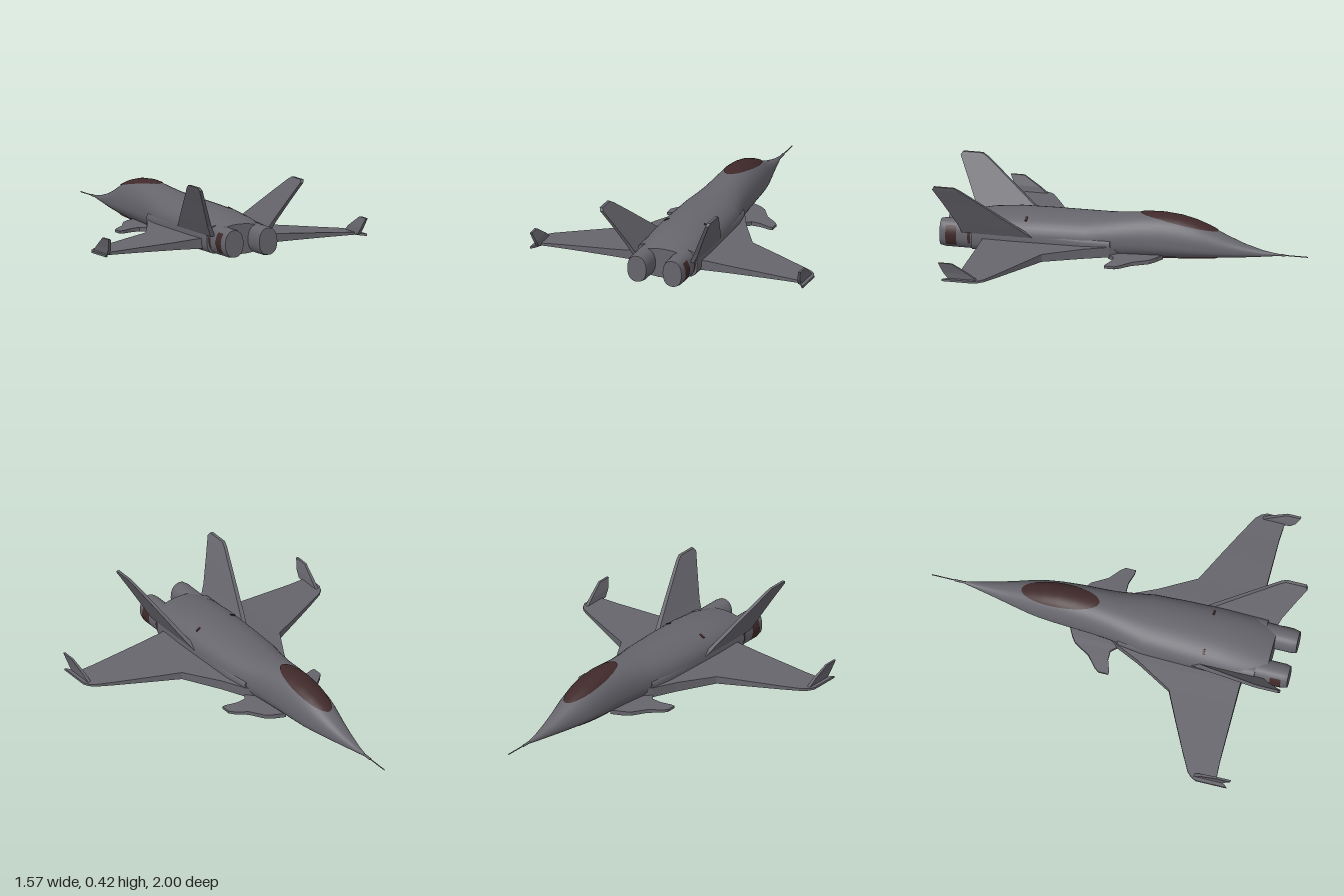
import * as THREE from 'three';

const grey = new THREE.MeshStandardMaterial({ color: 0x66656c });
grey.name = 'airframe grey';
const maroon = new THREE.MeshStandardMaterial({ color: 0x40292a, side: THREE.DoubleSide });
maroon.name = 'dark maroon';

const POWER = 2.2; // roundness of the fuselage section

// Skins a list of rings (equal point counts), caps both ends and faces it outward.
function loft(rings, flat = false) {
  const n = rings[0].length, pos = [], idx = [];
  rings.forEach(r => r.forEach(p => pos.push(...p)));
  for (let j = 0; j < rings.length - 1; j++) {
    for (let i = 0; i < n; i++) {
      const a = j * n + i, b = j * n + (i + 1) % n;
      idx.push(a, b, b + n, a, b + n, a + n);
    }
  }
  // separate cap vertices keep the end edges sharp
  [[rings[0], true], [rings[rings.length - 1], false]].forEach(([ring, flip]) => {
    const s = pos.length / 3;
    ring.forEach(p => pos.push(...p));
    for (let i = 1; i < n - 1; i++) {
      if (flip) idx.push(s, s + i + 1, s + i);
      else idx.push(s, s + i, s + i + 1);
    }
  });
  // signed volume tells whether the winding must be turned
  const P = i => new THREE.Vector3().fromArray(pos, i * 3);
  let volume = 0;
  for (let k = 0; k < idx.length; k += 3) volume += P(idx[k]).dot(P(idx[k + 1]).cross(P(idx[k + 2])));
  if (volume < 0) idx.reverse();
  let geo = new THREE.BufferGeometry();
  geo.setAttribute('position', new THREE.Float32BufferAttribute(pos, 3));
  geo.setIndex(idx);
  if (flat) geo = geo.toNonIndexed();
  geo.computeVertexNormals();
  return geo;
}

// Rounded ring at z, with separate upper and lower heights.
function ovalRing(z, cx, w, bottom, mid, top, power = POWER, n = 40) {
  const ring = [];
  for (let i = 0; i < n; i++) {
    const a = (i / n) * Math.PI * 2, c = Math.cos(a), s = Math.sin(a);
    const x = Math.sign(c) * Math.abs(c) ** (2 / power), y = Math.sign(s) * Math.abs(s) ** (2 / power);
    ring.push([cx + w * x, mid + y * (s > 0 ? top - mid : mid - bottom), z]);
  }
  return ring;
}

// Fuselage stations: z, half width, bottom, middle, top
const STATIONS = [
  [-0.82, 0.006, 0.092, 0.1, 0.108], [-0.75, 0.02, 0.084, 0.1, 0.118],
  [-0.65, 0.042, 0.074, 0.105, 0.145], [-0.55, 0.066, 0.066, 0.11, 0.183],
  [-0.45, 0.09, 0.06, 0.117, 0.228], [-0.38, 0.102, 0.055, 0.122, 0.253],
  [-0.3, 0.11, 0.05, 0.127, 0.272], [-0.2, 0.117, 0.045, 0.13, 0.281],
  [-0.1, 0.122, 0.038, 0.13, 0.277], [0, 0.13, 0.028, 0.13, 0.266],
  [0.1, 0.147, 0.02, 0.13, 0.257], [0.2, 0.165, 0.014, 0.13, 0.253],
  [0.4, 0.174, 0.01, 0.13, 0.25], [0.6, 0.178, 0.012, 0.13, 0.245],
  [0.75, 0.176, 0.022, 0.125, 0.228], [0.88, 0.16, 0.035, 0.115, 0.198],
];

function stationAt(z) {
  let i = 0;
  while (i < STATIONS.length - 2 && STATIONS[i + 1][0] < z) i++;
  const a = STATIONS[i], b = STATIONS[i + 1], t = (z - a[0]) / (b[0] - a[0]);
  return a.map((v, k) => v + (b[k] - v) * t);
}

// Oval patch lying just off the fuselage skin; up is 1 for the top, -1 for the belly.
function skinPatch(up) {
  const seg = 40, steps = 12, pos = [], idx = [];
  for (let r = 0; r <= steps; r++) {
    for (let i = 0; i < seg; i++) {
      const a = (i / seg) * Math.PI * 2;
      const x = 0.071 * (r / steps) * Math.cos(a), z = -0.29 + 0.215 * (r / steps) * Math.sin(a);
      const [, w, bottom, mid, top] = stationAt(z);
      const reach = (1 - Math.min(1, Math.abs(x / w)) ** POWER) ** (1 / POWER);
      const y = mid + ((up > 0 ? top : bottom) - mid) * reach;
      pos.push(x, y + up * 0.005, z);
      if (r < steps) {
        const p = r * seg + i, q = r * seg + (i + 1) % seg;
        idx.push(p, q, q + seg, p, q + seg, p + seg);
      }
    }
  }
  if (up < 0) idx.reverse();
  const geo = new THREE.BufferGeometry();
  geo.setAttribute('position', new THREE.Float32BufferAttribute(pos, 3));
  geo.setIndex(idx);
  geo.computeVertexNormals();
  return geo;
}

// Thin panel from sections [x, y, leading z, trailing z, half thickness];
// the thickness runs along y, or along x for upright panels.
function panel(sections, side, upright = false) {
  return loft(sections.map(([x, y, z0, z1, t]) => {
    const dx = upright ? t : 0, dy = upright ? 0 : t;
    return [[x + dx, y + dy, z0], [x + dx, y + dy, z1], [x - dx, y - dy, z1], [x - dx, y - dy, z0]]
      .map(p => [p[0] * side, p[1], p[2]]);
  }), true);
}

// Curved strip around the outer side of a nozzle
function nozzleStrip(side, z, length, halfAngle) {
  return new THREE.CylinderGeometry(1, 1, length, 12, 1, true, side * Math.PI / 2 - halfAngle, halfAngle * 2)
    .rotateX(Math.PI / 2).scale(0.065, 0.08, 1).translate(side * 0.102, 0.112, z);
}

export function createModel() {
  const model = new THREE.Group();
  model.name = 'jet';
  const craft = new THREE.Group();
  craft.name = 'airframe';
  craft.position.x = -0.006;
  model.add(craft);
  const add = (name, geo, mat = grey) => {
    const mesh = new THREE.Mesh(geo, mat);
    mesh.name = name;
    craft.add(mesh);
  };

  add('fuselage', loft(STATIONS.map(([z, w, b, m, t]) => ovalRing(z, 0, w, b, m, t))));
  add('canopy', skinPatch(1), maroon);
  add('bellyPatch', skinPatch(-1), maroon);

  // Nose probe: slim tip and thicker sleeve
  add('probeTip', new THREE.CylinderGeometry(0.003, 0.003, 0.2, 8).rotateX(Math.PI / 2).translate(0, 0.1, -0.9));
  add('probeSleeve', new THREE.CylinderGeometry(0.007, 0.006, 0.09, 8).rotateX(Math.PI / 2).translate(0, 0.1, -0.83));

  for (const side of [1, -1]) {
    const label = side > 0 ? 'left' : 'right';

    add(label + 'Wing', panel([
      [0.1, 0.087, 0.0, 0.76, 0.028], [0.15, 0.087, 0.06, 0.76, 0.028],
      [0.21, 0.086, 0.19, 0.755, 0.027], [0.325, 0.083, 0.39, 0.755, 0.021],
      [0.5, 0.079, 0.475, 0.755, 0.015], [0.65, 0.075, 0.55, 0.755, 0.01],
      [0.745, 0.073, 0.6, 0.76, 0.007], [0.77, 0.072, 0.625, 0.81, 0.006],
      [0.785, 0.072, 0.655, 0.825, 0.006],
    ], side));

    add(label + 'Winglet', panel([
      [0.755, 0.072, 0.63, 0.79, 0.009], [0.76, 0.11, 0.68, 0.82, 0.008],
      [0.774, 0.165, 0.77, 0.845, 0.006],
    ], side, true));

    add(label + 'Canard', panel([
      [0.08, 0.062, -0.22, 0.09, 0.012], [0.14, 0.06, -0.19, 0.07, 0.012],
      [0.175, 0.058, -0.165, 0.03, 0.011], [0.225, 0.056, -0.08, 0.03, 0.01],
      [0.285, 0.054, -0.03, 0.05, 0.008], [0.305, 0.054, -0.005, 0.05, 0.007],
    ], side));

    add(label + 'TailFin', panel([
      [0.165, 0.14, 0.48, 0.87, 0.013], [0.196, 0.2, 0.56, 0.89, 0.012],
      [0.255, 0.32, 0.72, 0.95, 0.01], [0.303, 0.415, 0.85, 1.0, 0.009],
      [0.311, 0.432, 0.88, 0.99, 0.008],
    ], side, true));

    // Air intake trunk along the body side
    add(label + 'Intake', loft([
      ovalRing(0.06, side * 0.105, 0.045, 0.055, 0.1, 0.15, 4, 24),
      ovalRing(0.2, side * 0.11, 0.06, 0.045, 0.1, 0.16, 4, 24),
      ovalRing(0.6, side * 0.112, 0.068, 0.04, 0.11, 0.185, 3.5, 24),
      ovalRing(0.82, side * 0.108, 0.068, 0.035, 0.11, 0.19, 2.8, 24),
    ]));

    // Exhaust nozzle with a flat rear face
    add(label + 'Nozzle', loft([
      ovalRing(0.6, side * 0.102, 0.062, 0.035, 0.112, 0.19, 2.3, 28),
      ovalRing(0.97, side * 0.102, 0.061, 0.035, 0.112, 0.19, 2.3, 28),
      ovalRing(1.0, side * 0.102, 0.054, 0.04, 0.112, 0.186, 2.3, 28),
    ]));

    // Heat marks on the outer nozzle side
    add(label + 'NozzleMark', nozzleStrip(side, 0.935, 0.06, 0.75), maroon);
    add(label + 'NozzleLine', nozzleStrip(side, 0.835, 0.016, 0.5), maroon);

    // Small dash on the upper rear body
    add(label + 'BodyDash', new THREE.BoxGeometry(0.03, 0.008, 0.012)
      .rotateZ(-0.49 * side).translate(side * 0.115, 0.223, 0.53), maroon);
  }

  // Tail keel between the nozzles
  add('tailKeel', new THREE.BoxGeometry(0.06, 0.16, 0.1).translate(0, 0.115, 0.83));
  return model;
}
